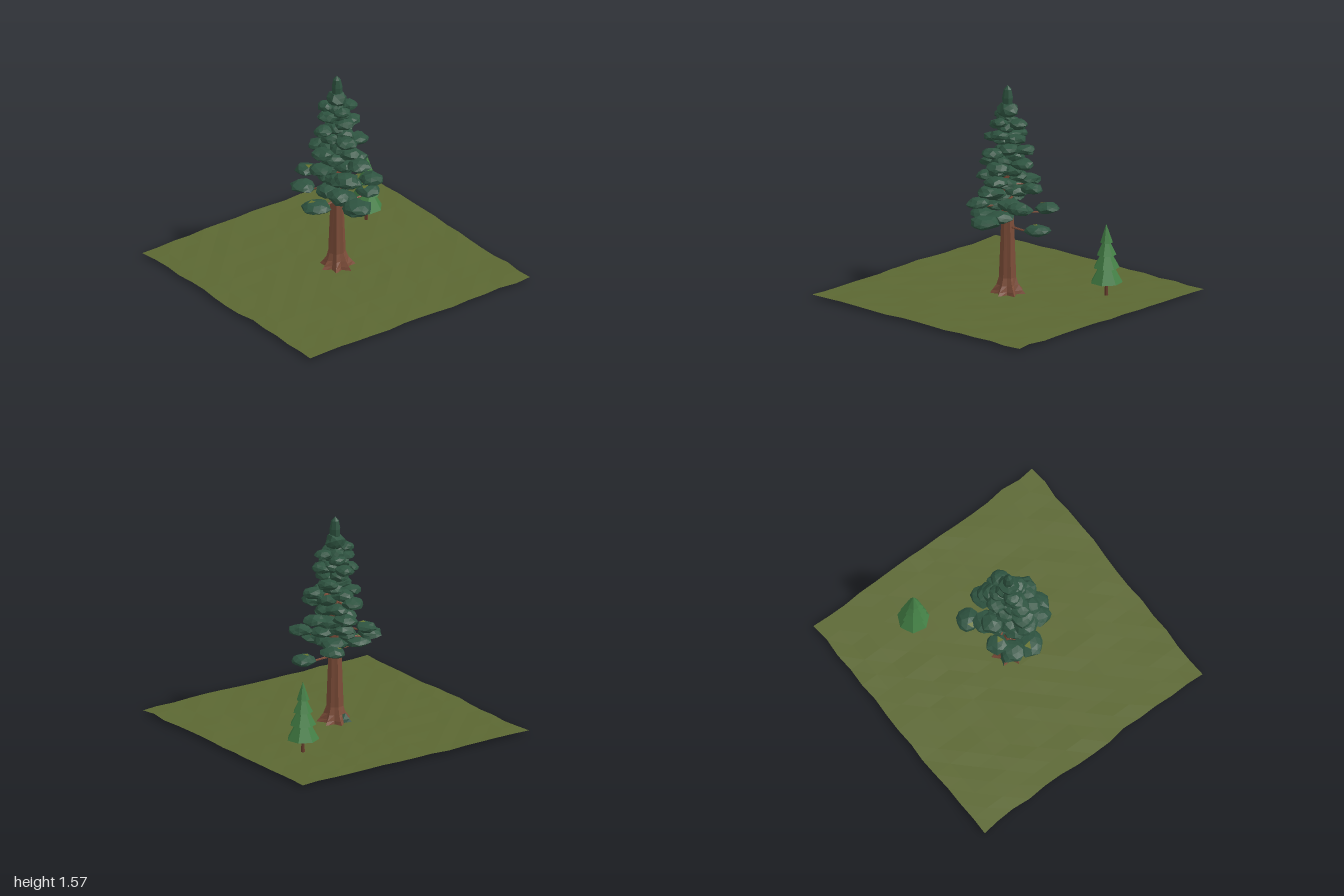
import * as THREE from 'three';

const mat = (name, color, side = THREE.FrontSide) => {
  const m = new THREE.MeshStandardMaterial({ color, side });
  m.name = name;
  return m;
};

// Repeatable noise in 0..1 from three numbers
const noise = (a, b, c) => {
  const s = Math.sin(a * 127.1 + b * 311.7 + c * 74.7) * 43758.5453;
  return s - Math.floor(s);
};

// Faceted copy: every triangle gets its own normal
const facet = (g) => {
  const f = g.index ? g.toNonIndexed() : g;
  f.computeVertexNormals();
  return f;
};

export function createModel() {
  const grass = mat('grass', 0x5b6732, THREE.DoubleSide);
  const bark = mat('bark', 0x7d4d39);
  const needles = mat('needles', 0x2e5340);
  const moss = mat('moss', 0x66732f);
  const youngNeedles = mat('youngNeedles', 0x437f45);
  const youngBark = mat('youngBark', 0x683f2e);

  const model = new THREE.Group();
  model.name = 'conifers';
  const add = (parent, name, geometry, material) => {
    const mesh = new THREE.Mesh(geometry, material);
    mesh.name = name;
    parent.add(mesh);
    return mesh;
  };

  // Ground: thin sheet with ragged edges and slight bumps
  const sheet = new THREE.PlaneGeometry(2, 2, 14, 14).rotateX(-Math.PI / 2);
  const sp = sheet.attributes.position;
  for (let i = 0; i < sp.count; i++) {
    const x = sp.getX(i), z = sp.getZ(i);
    const inset = (v, k) => (Math.abs(v) > 0.99 ? v * (1 - 0.025 * noise(x, z, k)) : v);
    sp.setXYZ(i, inset(x, 1), 0.021 + 0.007 * noise(x, z, 3), inset(z, 2));
  }
  add(model, 'ground', facet(sheet), grass);

  const tree = new THREE.Group();
  tree.name = 'tallTree';
  model.add(tree);

  // Trunk: rings of [height, ridge radius, groove radius], flaring into roots
  const rings = [[0.005, 0.15, 0.085], [0.045, 0.115, 0.075], [0.085, 0.084, 0.066],
    [0.14, 0.064, 0.055], [0.5, 0.05, 0.044], [1, 0.036, 0.032], [1.42, 0.014, 0.012]];
  const sides = 14;
  const verts = [], index = [];
  rings.forEach(([y, ridge, groove]) => {
    for (let s = 0; s < sides; s++) {
      const a = (s / sides) * Math.PI * 2 + 0.2;
      const r = (s % 2 ? groove : ridge) * (y < 0.1 ? 0.92 + 0.14 * noise(s, 1, 2) : 1);
      verts.push(r * Math.sin(a), y, r * Math.cos(a));
    }
  });
  const mossIndex = [];
  for (let j = 0; j < rings.length - 1; j++) {
    for (let s = 0; s < sides; s++) {
      const t = (s + 1) % sides;
      const a = j * sides + s, b = j * sides + t, c = a + sides, d = b + sides;
      (s === 7 && j < 2 ? mossIndex : index).push(a, b, d, a, d, c);
    }
  }
  const trunk = new THREE.BufferGeometry();
  trunk.setAttribute('position', new THREE.Float32BufferAttribute(verts, 3));
  trunk.setIndex([...index, ...mossIndex]);
  trunk.addGroup(0, index.length, 0);
  trunk.addGroup(index.length, mossIndex.length, 1);
  add(tree, 'trunk', facet(trunk), [bark, needles]);

  // Foliage pad: squashed, roughened dome; a mossy pad has one coloured top facet
  const pad = (x, y, z, r, h, mossy, seed) => {
    const g = new THREE.IcosahedronGeometry(1, 1);
    const p = g.attributes.position;
    const q = (v) => Math.round(v * 100);
    for (let i = 0; i < p.count; i++) {
      const vx = p.getX(i), vy = p.getY(i), vz = p.getZ(i);
      const k = 0.86 + 0.28 * noise(q(vx) + seed * 7, q(vy), q(vz));
      p.setXYZ(i, vx * k * r, vy * k * h * (vy < 0 ? 0.75 : 1.05), vz * k * r);
    }
    g.rotateY(seed * 2.4);
    g.computeVertexNormals();
    if (mossy) {
      let top = 0;
      const n = g.attributes.normal;
      for (let i = 0; i < n.count; i += 3) if (n.getY(i) > n.getY(top)) top = i;
      g.addGroup(0, top, 0);
      g.addGroup(top, 3, 1);
      g.addGroup(top + 3, p.count - top - 3, 0);
    }
    add(tree, 'foliagePad', g, mossy ? [needles, moss] : needles).position.set(x, y, z);
  };

  // Branch from the trunk out to a pad
  const up = new THREE.Vector3(0, 1, 0);
  const branch = (x, y, z) => {
    const from = new THREE.Vector3(0, y - 0.015, 0);
    const dir = new THREE.Vector3(x, y - 0.025, z).sub(from);
    const len = dir.length();
    const g = facet(new THREE.CylinderGeometry(0.005, 0.01, len, 5));
    const mesh = add(tree, 'branch', g, bark);
    mesh.position.copy(from).addScaledVector(dir, 0.5);
    mesh.quaternion.setFromUnitVectors(up, dir.normalize());
  };

  // Outer pads, bottom to top: x, y, z, radius, mossy
  const pads = [
    [0.285, 0.535, 0, 0.09, 1], [-0.21, 0.575, 0.03, 0.1, 1], [0, 0.59, 0.24, 0.11],
    [0.18, 0.635, -0.22, 0.085, 1], [-0.21, 0.68, -0.13, 0.09], [0.215, 0.71, 0.13, 0.085],
    [-0.12, 0.7, 0.18, 0.085], [-0.13, 0.76, -0.2, 0.08, 1], [0.2, 0.825, -0.03, 0.08],
    [-0.04, 0.79, 0.15, 0.1], [-0.17, 0.87, 0.03, 0.085], [0.06, 0.895, 0.19, 0.085],
    [0.04, 0.835, -0.18, 0.085], [0.17, 1.01, 0.03, 0.08], [-0.14, 0.98, 0.02, 0.08],
    [-0.03, 0.945, -0.17, 0.08], [0.02, 0.98, 0.13, 0.08], [-0.02, 1.08, 0.14, 0.08],
    [0.11, 1.09, -0.06, 0.075], [-0.13, 1.16, 0.01, 0.07], [0.1, 1.19, 0.03, 0.075],
    [0.0, 1.185, -0.11, 0.07], [0.0, 1.21, 0.085, 0.07], [-0.08, 1.26, 0, 0.075],
    [0.03, 1.26, -0.07, 0.065], [0.1, 1.3, 0.0, 0.065], [-0.01, 1.3, 0.075, 0.06],
    [-0.08, 1.335, -0.03, 0.06],
  ];
  pads.forEach(([x, y, z, r, mossy], i) => {
    pad(x, y, z, r, 0.02 + r * 0.26, mossy, i + 1);
    branch(x, y, z);
  });

  // Inner pads spiral up the trunk to close the crown
  for (let i = 0; i < 24; i++) {
    const t = i / 23, a = i * 2.4, d = 0.085 - 0.055 * t;
    pad(d * Math.sin(a), 0.6 + 0.72 * t, d * Math.cos(a), 0.1 - 0.04 * t, 0.045, 0, i + 40);
  }

  // Crown top and spire
  pad(0, 1.375, 0, 0.075, 0.065, 0, 70);
  const tip = [[0.02, 1.37], [0.038, 1.43], [0.04, 1.48], [0.028, 1.54], [0.001, 1.57]];
  const spire = new THREE.LatheGeometry(tip.map(([r, y]) => new THREE.Vector2(r, y)), 7);
  add(tree, 'spire', facet(spire), needles);

  // Young tree: slim trunk and four stacked seven-sided tiers
  const sapling = new THREE.Group();
  sapling.name = 'youngTree';
  sapling.position.set(0.58, 0, -0.41);
  sapling.rotation.y = Math.PI;
  model.add(sapling);
  const stem = facet(new THREE.CylinderGeometry(0.011, 0.014, 0.13, 7));
  add(sapling, 'youngTrunk', stem, youngBark).position.y = 0.08;
  // bottom height, top height, bottom radius, top radius
  [[0.125, 0.24, 0.118, 0.055], [0.235, 0.335, 0.096, 0.042],
    [0.33, 0.425, 0.072, 0.026], [0.42, 0.555, 0.047, 0.001]].forEach(([y0, y1, r0, r1]) => {
    const g = facet(new THREE.CylinderGeometry(r1, r0, y1 - y0, 7));
    add(sapling, 'foliageTier', g, youngNeedles).position.y = (y0 + y1) / 2;
  });

  return model;
}
